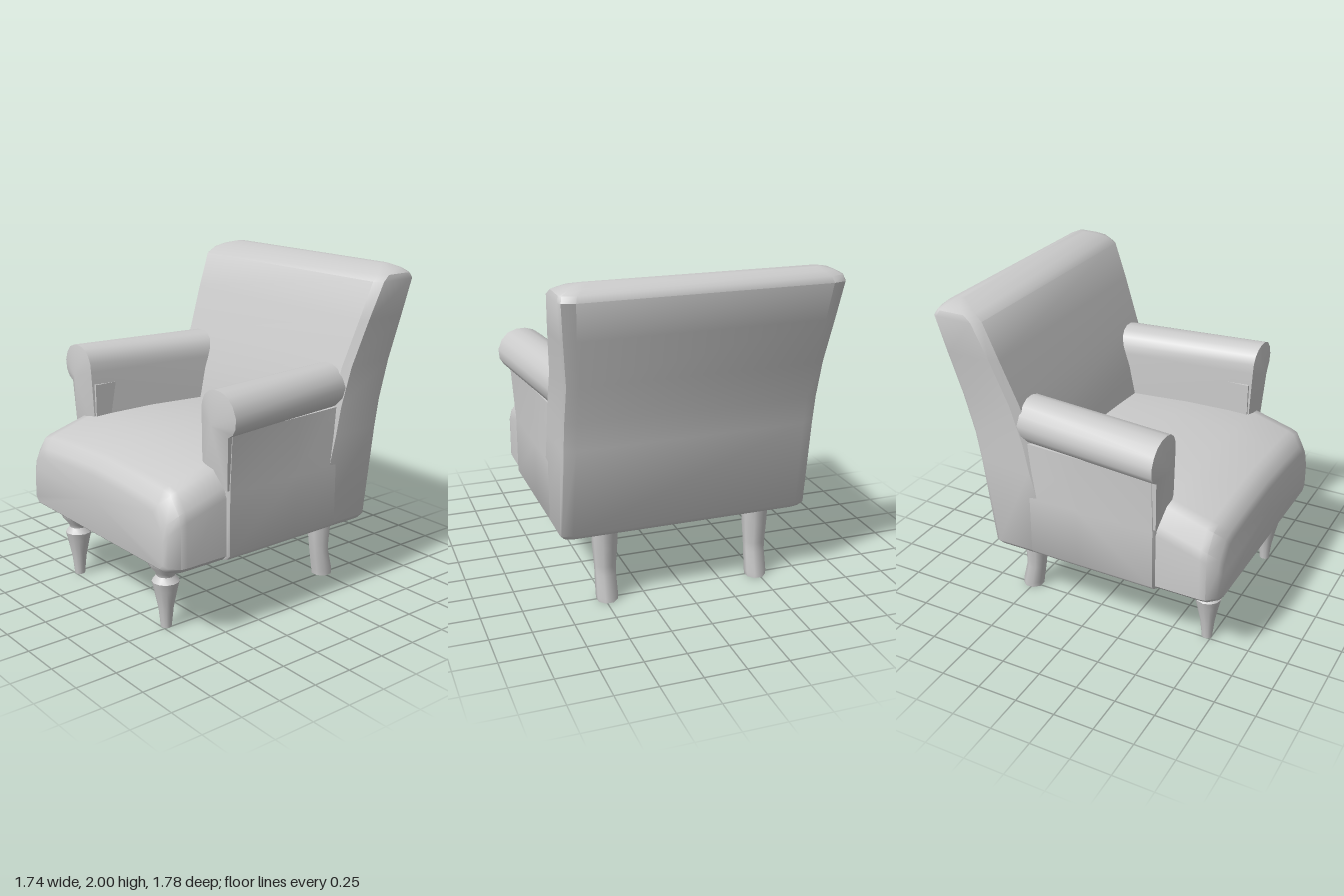
import * as THREE from 'three';
import { toCreasedNormals } from 'three/addons/utils/BufferGeometryUtils.js';

const material = new THREE.MeshStandardMaterial({ color: 0xcccccc });

const centreOf = ring => ring
  .reduce((c, p) => c.add(new THREE.Vector3(...p)), new THREE.Vector3())
  .divideScalar(ring.length).toArray();

// Skin a list of equal-length rings of [x, y, z], closing both ends with fans.
function loft(rings, crease = 0.75, startTip = centreOf(rings[0]), endTip = centreOf(rings.at(-1))) {
  const n = rings[0].length, last = (rings.length - 1) * n;
  const points = [...rings.flat(), startTip, endTip];
  const index = [];
  for (let j = 0; j < n; j++) {
    const k = (j + 1) % n;
    for (let i = 0; i < last; i += n) {
      index.push(i + j, i + k, i + n + k, i + j, i + n + k, i + n + j);
    }
    index.push(last + n, k, j, last + n + 1, last + j, last + k);
  }
  // Turn the faces outward, whichever way the rings run.
  let volume = 0;
  const v = points.map(p => new THREE.Vector3(...p));
  for (let t = 0; t < index.length; t += 3) {
    volume += v[index[t]].dot(v[index[t + 1]].clone().cross(v[index[t + 2]]));
  }
  if (volume < 0) index.reverse();
  const geometry = new THREE.BufferGeometry();
  geometry.setAttribute('position', new THREE.Float32BufferAttribute(points.flat(), 3));
  geometry.setIndex(index);
  return toCreasedNormals(geometry, crease);
}

function add(group, name, geometry) {
  const mesh = new THREE.Mesh(geometry, material);
  mesh.name = name;
  group.add(mesh);
  return mesh;
}

// Crowned cushion block, sections along z: [z, half width, top, bottom]
function seatGeometry() {
  const sections = [
    [0.892, 0.69, 0.83, 0.47], [0.875, 0.715, 0.875, 0.455], [0.82, 0.76, 0.93, 0.45],
    [0.78, 0.765, 0.945, 0.45], [0.53, 0.765, 1.02, 0.45], [0.1, 0.765, 1.035, 0.45],
    [-0.28, 0.765, 1.03, 0.45], [-0.5, 0.74, 1.0, 0.45],
  ];
  return loft(sections.map(([z, w, top, low]) => {
    const half = [
      [w - 0.03, low], [w, low + 0.03], [w, top - 0.2], [w - 0.015, top - 0.14],
      [w - 0.09, top - 0.045], [w - 0.16, top - 0.03], [0.3, top - 0.012],
    ];
    const other = half.map(([x, y]) => [-x, y]).reverse();
    return [...half, [0, top], ...other].map(([x, y]) => [x, y, z]);
  }));
}

// Raked back, sections up y: [y, half width, front z, back z, corner bevel]
function backGeometry() {
  const sections = [
    [0.45, 0.75, -0.15, -0.57, 0.03], [0.48, 0.775, -0.14, -0.592, 0.035],
    [1.03, 0.775, -0.275, -0.67, 0.04], [1.2, 0.775, -0.31, -0.7, 0.04],
    [1.43, 0.775, -0.385, -0.765, 0.04], [1.7, 0.803, -0.485, -0.833, 0.04],
    [1.92, 0.825, -0.57, -0.89, 0.045], [1.955, 0.815, -0.62, -0.872, 0.045],
    [1.98, 0.77, -0.675, -0.845, 0.04], [2.0, 0.69, -0.75, -0.8, 0.015],
  ];
  return loft(sections.map(([y, w, f, b, c]) => [
    [w - c, y, f], [w, y, f - c], [w, y, b + c], [w - c * 0.3, y, b + c * 0.45], [w - 2 * c, y, b],
    [-w + 2 * c, y, b], [-w + c * 0.3, y, b + c * 0.45], [-w, y, b + c], [-w, y, f - c], [-w + c, y, f],
  ]));
}

// Arm profile around its own centre line: [x, y]
const armProfile = [
  [-0.16, 0.87], [-0.15, 1.28], [-0.145, 1.34], [-0.12, 1.39], [-0.08, 1.42], [-0.03, 1.435],
  [0.03, 1.433], [0.085, 1.412], [0.125, 1.37], [0.15, 1.31], [0.145, 1.25], [0.12, 1.21],
  [0.08, 1.185], [0.06, 0.87],
];

// Rolled arm, splayed outward toward the front
function armGeometry(side) {
  const ring = (z, cx) => armProfile.map(([x, y]) =>
    [side * (cx + x), y, z > 0 ? z - 0.02 * (1.43 - y) / 0.56 : z]);
  return loft([ring(-0.41, 0.62), ring(0.535, 0.72)], 0.75,
    [side * 0.62, 1.2, -0.42], [side * 0.705, 1.24, 0.572]);
}

// Outer side below the arm: [z, bottom x, top x]
function sidePanelGeometry(side) {
  const sections = [
    [0.51, 0.76, 0.785], [0.495, 0.782, 0.8], [0, 0.778, 0.775], [-0.32, 0.775, 0.755], [-0.52, 0.765, 0.75],
  ];
  return loft(sections.map(([z, low, high]) => [
    [0.55, 0.45], [low - 0.025, 0.45], [low, 0.48], [low, 0.85], [high, 1.2], [0.55, 1.2],
  ].map(([x, y]) => [side * x, y, z])));
}

// Turned front leg
function frontLegGeometry() {
  const profile = [
    [0, 0], [0.032, 0], [0.045, 0.12], [0.07, 0.24], [0.082, 0.29], [0.055, 0.325],
    [0.06, 0.345], [0.098, 0.39], [0.108, 0.43], [0.1, 0.47],
  ].map(p => new THREE.Vector2(...p));
  return toCreasedNormals(new THREE.LatheGeometry(profile, 12), 0.8);
}

// Curved back leg, sections up y: [y, front z, back z, half width]
function backLegGeometry(side) {
  const sections = [
    [0, -0.45, -0.575, 0.06], [0.03, -0.447, -0.572, 0.063], [0.16, -0.425, -0.54, 0.06],
    [0.22, -0.418, -0.54, 0.062], [0.35, -0.403, -0.552, 0.07], [0.47, -0.4, -0.558, 0.073],
  ];
  return loft(sections.map(([y, f, b, w]) => Array.from({ length: 8 }, (_, i) => {
    const a = (i + 0.5) * Math.PI / 4, s = 1 / Math.cos(Math.PI / 8);
    return [side * 0.485 + w * s * Math.cos(a), y, (f + b) / 2 + (f - b) / 2 * s * Math.sin(a)];
  })), 0.85);
}

export function createModel() {
  const chair = new THREE.Group();
  chair.name = 'armchair';
  add(chair, 'seat', seatGeometry());
  add(chair, 'backrest', backGeometry());
  for (const [side, label] of [[1, 'left'], [-1, 'right']]) {
    add(chair, label + 'Arm', armGeometry(side));
    add(chair, label + 'SidePanel', sidePanelGeometry(side));
    add(chair, label + 'FrontLeg', frontLegGeometry()).position.set(side * 0.475, 0, 0.72);
    add(chair, label + 'BackLeg', backLegGeometry(side));
  }
  return chair;
}
